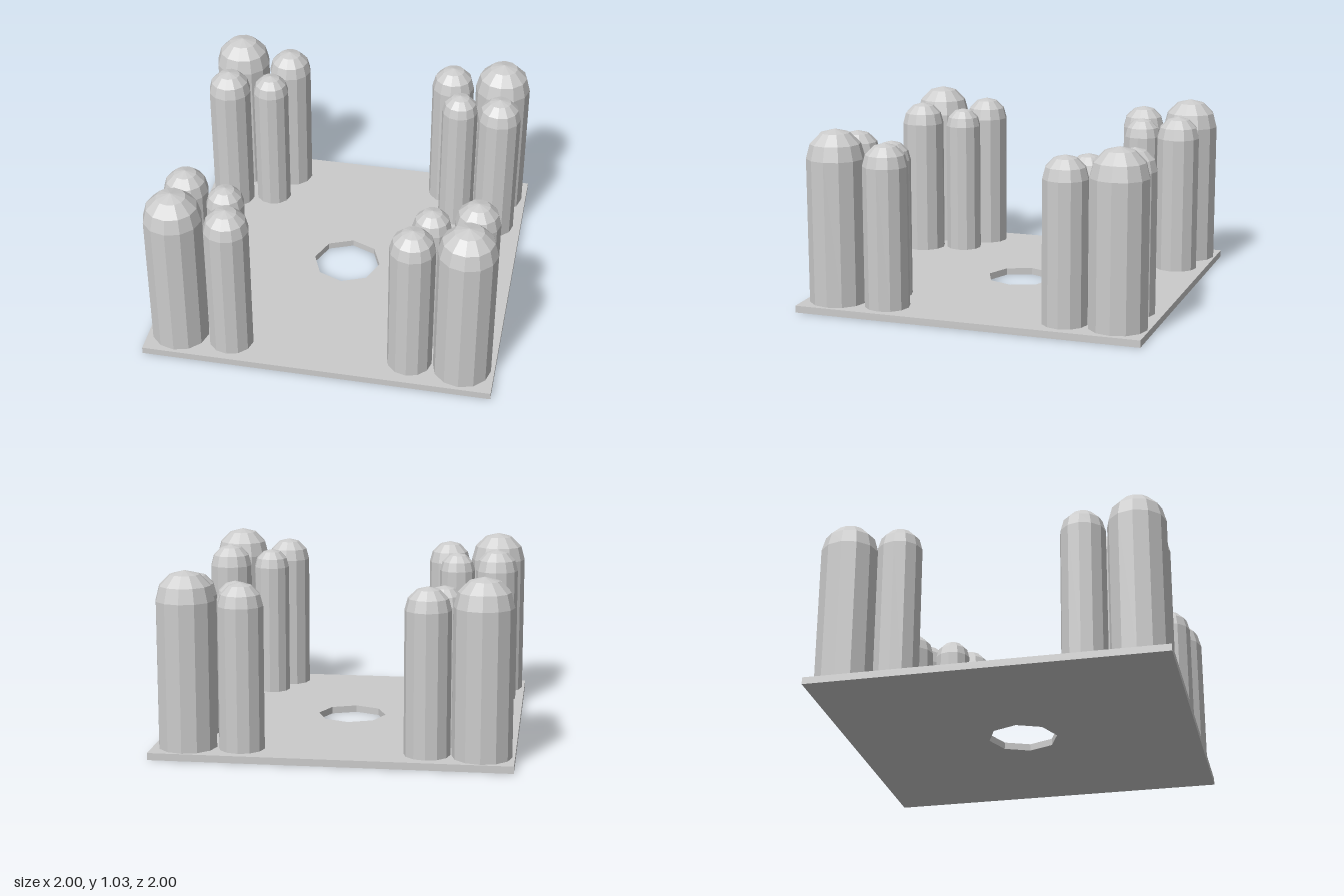
import * as THREE from 'three';

const PLATE = 0.04;

// Round-topped column profile: straight wall, then a quarter-circle dome
function columnGeometry(radius, top) {
  const points = [new THREE.Vector2(0, PLATE - 0.01), new THREE.Vector2(radius, PLATE - 0.01)];
  for (let i = 0; i <= 3; i++) {
    const a = (i / 3) * Math.PI / 2;
    points.push(new THREE.Vector2(i === 3 ? 0 : radius * Math.cos(a), top - radius + radius * Math.sin(a)));
  }
  return new THREE.LatheGeometry(points, 12);
}

export function createModel() {
  const group = new THREE.Group();
  const material = new THREE.MeshStandardMaterial({ color: 0xcccccc, flatShading: true });

  // Square base plate with an octagonal hole
  const square = new THREE.Shape([[-1, -1], [1, -1], [1, 1], [-1, 1]].map(([x, y]) => new THREE.Vector2(x, y)));
  const hole = [];
  for (let i = 0; i < 8; i++) {
    const a = -i * Math.PI / 4;
    hole.push(new THREE.Vector2(0.2 * Math.cos(a), 0.2 * Math.sin(a)));
  }
  square.holes.push(new THREE.Path(hole));
  const plateGeometry = new THREE.ExtrudeGeometry(square, { depth: PLATE, bevelEnabled: false });
  plateGeometry.rotateX(-Math.PI / 2);
  const plate = new THREE.Mesh(plateGeometry, material);
  plate.name = 'basePlate';
  group.add(plate);

  // Column sizes, with one x, z position list per size
  const columns = [
    { name: 'largeColumn', radius: 0.165, top: 1.03,
      at: [[-0.82, -0.825], [0.81, -0.825], [-0.82, 0.815], [0.815, 0.815]] },
    { name: 'mediumColumn', radius: 0.128, top: 0.97,
      at: [[-0.52, -0.82], [-0.835, -0.525], [0.505, -0.825], [0.825, -0.53],
        [-0.825, 0.515], [-0.515, 0.83], [0.83, 0.51], [0.515, 0.815]] },
    { name: 'smallColumn', radius: 0.108, top: 0.935,
      at: [[-0.59, -0.58], [0.58, -0.585], [-0.58, 0.585], [0.585, 0.575]] },
  ];
  for (const { name, radius, top, at } of columns) {
    const geometry = columnGeometry(radius, top);
    for (const [x, z] of at) {
      const column = new THREE.Mesh(geometry, material);
      column.name = name;
      column.position.set(x, 0, z);
      group.add(column);
    }
  }
  return group;
}
